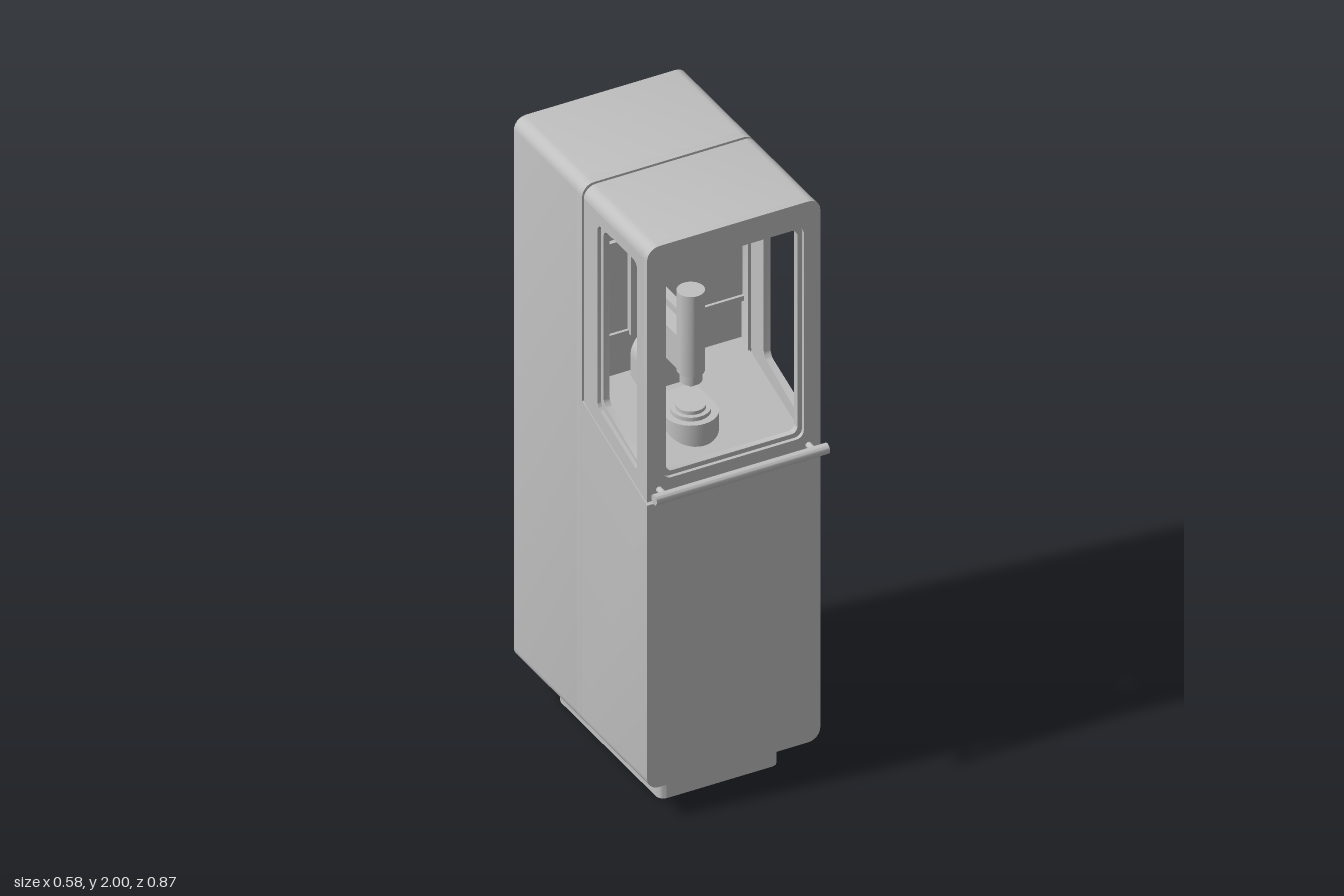
import * as THREE from 'three';
import { toCreasedNormals } from 'three/addons/utils/BufferGeometryUtils.js';

// Polygon with rounded corners; each point is [x, y, radius]
function trace(path, pts) {
  const n = pts.length;
  pts.forEach(([x, y, r = 0], i) => {
    const toward = ([px, py]) => {
      const d = Math.hypot(px - x, py - y);
      return [x + ((px - x) * r) / d, y + ((py - y) * r) / d];
    };
    const a = toward(pts[(i + n - 1) % n]);
    const b = toward(pts[(i + 1) % n]);
    if (i === 0) path.moveTo(...a); else path.lineTo(...a);
    if (r) path.bezierCurveTo(a[0] + (x - a[0]) * 0.55, a[1] + (y - a[1]) * 0.55,
      b[0] + (x - b[0]) * 0.55, b[1] + (y - b[1]) * 0.55, b[0], b[1]);
  });
  path.closePath();
  return path;
}

const rect = (x0, y0, x1, y1, rBottom = 0, rTop = rBottom) =>
  [[x0, y0, rBottom], [x1, y0, rBottom], [x1, y1, rTop], [x0, y1, rTop]];

// Plate extruded along z from z0 to z1, with an optional hole
function extrude(outer, z0, z1, hole) {
  const shape = trace(new THREE.Shape(), outer);
  if (hole) shape.holes.push(trace(new THREE.Path(), hole));
  const geo = new THREE.ExtrudeGeometry(shape, { depth: z1 - z0, bevelEnabled: false, curveSegments: 6 });
  return geo.translate(0, 0, z0);
}

// Slanted joint between the cabinet and the hood
const slantY = (z) => 1.105 + (0.375 - z) * 0.36;

function moveY(geo, rule) {
  const p = geo.attributes.position;
  for (let i = 0; i < p.count; i++) p.setY(i, rule(p.getY(i), p.getZ(i)));
  return geo;
}

export function createModel() {
  const group = new THREE.Group();
  const grey = new THREE.MeshStandardMaterial({ color: 0xc0c0c0 });
  grey.name = 'light grey';

  const add = (name, geo, x = 0, y = 0, z = 0) => {
    const mesh = new THREE.Mesh(toCreasedNormals(geo, 0.6), grey);
    mesh.name = name;
    mesh.position.set(x, y, z);
    group.add(mesh);
    return mesh;
  };
  const box = (name, x0, x1, y0, y1, z0, z1) => add(name,
    new THREE.BoxGeometry(x1 - x0, y1 - y0, z1 - z0), (x0 + x1) / 2, (y0 + y1) / 2, (z0 + z1) / 2);
  const post = (name, r, y0, y1, x, z) => add(name,
    new THREE.CylinderGeometry(r, r, y1 - y0, 32), x, (y0 + y1) / 2, z);

  // Plinth and its flange
  const plinth = extrude(rect(-0.2, -0.29, 0.2, 0.335, 0.025), 0, 0.115).rotateX(-Math.PI / 2);
  add('plinth', plinth);
  box('plinthFlange', -0.245, 0.245, 0.095, 0.115, -0.32, 0.275);

  // Cabinet: rear tower, recessed rim, and front lower body with slanted top
  add('rearCabinet', extrude(rect(-0.29, 0.11, 0.29, 2, 0.04), -0.435, -0.05));
  add('cabinetRim', extrude(rect(-0.29, 0.11, 0.29, 2, 0.04), -0.05, -0.02,
    rect(-0.26, 1.24, 0.26, 1.96, 0.02)));
  add('lowerCabinet', moveY(extrude(rect(-0.29, 0.11, 0.29, 1.5, 0.04, 0), -0.02, 0.375),
    (y, z) => (y > 1 ? slantY(z) : y)));
  add('floorPan', moveY(new THREE.BoxGeometry(0.52, 0.04, 0.4).translate(0, 0.005, 0.15),
    (y, z) => y + slantY(z)));
  add('hoodSeal', extrude(rect(-0.265, 1.24, 0.265, 1.955, 0.01), -0.03, 0,
    rect(-0.255, 1.25, 0.255, 1.945, 0.01)));

  // Hood: top, front frame and two side frames
  add('hoodTop', extrude(rect(-0.29, 1.96, 0.29, 2, 0, 0.04), -0.01, 0.355));
  add('hoodFront', extrude(rect(-0.29, 1.117, 0.29, 2, 0, 0.04), 0.355, 0.375,
    rect(-0.235, 1.18, 0.235, 1.92, 0.025)));
  add('frontWindowLip', extrude(rect(-0.24, 1.175, 0.24, 1.925, 0.025), 0.343, 0.363,
    rect(-0.22, 1.195, 0.22, 1.905, 0.02)));
  const sideOutline = [[-0.355, 1.122], [0.01, 1.25, 0.02], [0.01, 1.96], [-0.355, 1.96]];
  const sideWindow = (g) => [[-0.315 - g, 1.193 - g, 0.02], [-0.073 + g, 1.28 - g, 0.02],
    [-0.073 + g, 1.92 + g, 0.025], [-0.315 - g, 1.92 + g, 0.025]];
  for (const side of [-1, 1]) {
    const name = side > 0 ? 'left' : 'right';
    const [a, b] = side > 0 ? [0.27, 0.29] : [-0.29, -0.27];
    add(name + 'HoodSide', extrude(sideOutline, a, b, sideWindow(0)).rotateY(Math.PI / 2));
    add(name + 'WindowLip', extrude(sideWindow(0.005), a - side * 0.012, b - side * 0.012,
      sideWindow(-0.016)).rotateY(Math.PI / 2));
    // Handle posts
    add(name + 'HandlePost', new THREE.CylinderGeometry(0.01, 0.01, 0.05, 20).rotateX(Math.PI / 2),
      side * 0.25, 1.15, 0.395);
  }
  add('handleBar', new THREE.CylinderGeometry(0.017, 0.017, 0.58, 28).rotateZ(Math.PI / 2), 0, 1.15, 0.418);

  // Back wall panels and tool column
  box('backPanel', -0.255, 0.255, 1.44, 1.755, -0.055, -0.035);
  box('backLedge', -0.255, 0.255, 1.425, 1.442, -0.055, -0.025);
  box('column', -0.13, 0.022, 1.43, 1.755, -0.055, -0.012);

  // Spindle and its arm
  const cx = -0.035, cz = 0.178;
  box('spindleArm', -0.068, -0.002, 1.39, 1.505, -0.02, cz - 0.02);
  box('spindleBracket', -0.05, -0.02, 1.55, 1.575, -0.02, cz);
  post('spindleBody', 0.042, 1.39, 1.67, cx, cz);
  post('spindleCollar', 0.034, 1.355, 1.39, cx, cz);
  post('spindleTip', 0.014, 1.34, 1.355, cx, cz);

  // Arched stand with rotary disc
  const arch = new THREE.Shape();
  arch.moveTo(-0.085, 1.2);
  arch.lineTo(0.085, 1.2);
  arch.lineTo(0.085, 1.345);
  arch.absarc(0, 1.345, 0.085, 0, Math.PI, false);
  arch.closePath();
  add('archStand', new THREE.ExtrudeGeometry(arch, { depth: 0.07, bevelEnabled: false, curveSegments: 20 }),
    cx, 0, -0.035);
  add('rotaryDisc', new THREE.CylinderGeometry(0.06, 0.06, 0.025, 36).rotateX(Math.PI / 2), cx, 1.335, 0.045);

  // Work table
  box('tableArm', cx - 0.083, cx + 0.083, 1.18, 1.247, 0, cz);
  post('tableBase', 0.083, 1.17, 1.247, cx, cz);
  post('tableDisc', 0.06, 1.247, 1.26, cx, cz);
  post('tableChuck', 0.045, 1.26, 1.272, cx, cz);

  return group;
}
